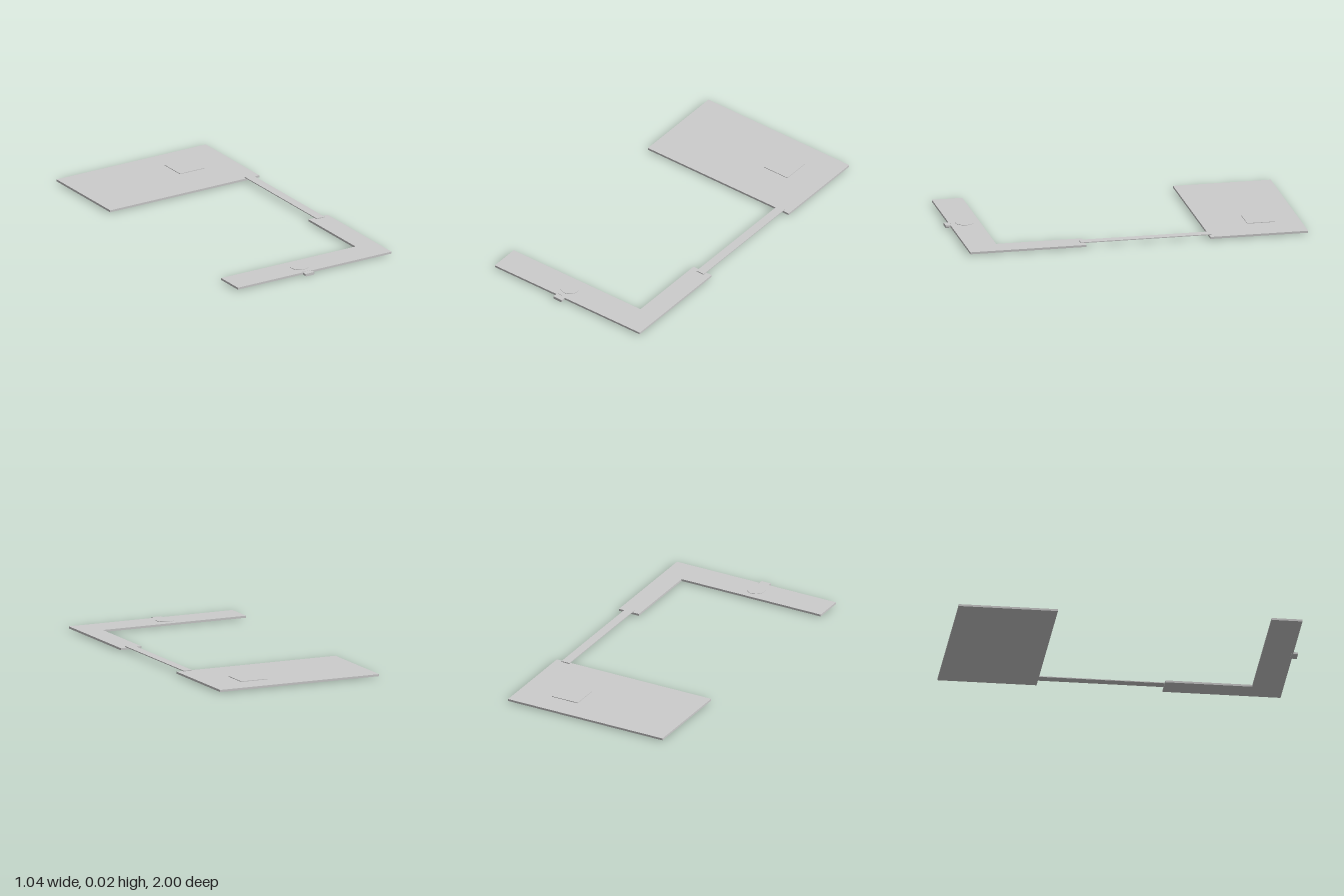
import * as THREE from 'three';

const material = new THREE.MeshStandardMaterial({ color: 0xcccccc, flatShading: true });
const smooth = new THREE.MeshStandardMaterial({ color: 0xcccccc });
const BOTTOM = 0.005, TOP = 0.017;

function add(group, name, geometry, mat = material) {
  const mesh = new THREE.Mesh(geometry, mat);
  mesh.name = name;
  group.add(mesh);
  return mesh;
}

// Box given by its limits on each axis
function box(x0, x1, y0, y1, z0, z1) {
  return new THREE.BoxGeometry(x1 - x0, y1 - y0, z1 - z0)
    .translate((x0 + x1) / 2, (y0 + y1) / 2, (z0 + z1) / 2);
}

export function createModel() {
  const model = new THREE.Group();
  model.name = 'circuitBoards';

  // Rear main board with its chip
  add(model, 'mainBoard', box(-0.49, 0.52, BOTTOM, TOP, -1, -0.43));
  add(model, 'chip', box(0.147, 0.314, TOP, 0.0205, -0.852, -0.688));

  // L-shaped front board, notched for the connector; outline in (x, z)
  const outline = [
    [-0.52, 0.795], [0.39, 0.795], [0.39, 0.295], [0.52, 0.295], [0.52, 0.973],
    [-0.018, 0.973], [-0.018, 0.963], [-0.08, 0.963], [-0.08, 0.973], [-0.52, 0.973],
  ].map(([x, z]) => new THREE.Vector2(x, -z));
  const board = new THREE.ExtrudeGeometry(new THREE.Shape(outline), {
    depth: TOP - BOTTOM, bevelEnabled: false,
  });
  board.rotateX(-Math.PI / 2).translate(0, BOTTOM, 0);
  add(model, 'frontBoard', board);

  // Flat cable joining the two boards
  add(model, 'ribbonCable', box(0.43, 0.482, TOP, 0.022, -0.445, 0.32));

  // Low round component on the front board
  const disc = new THREE.CylinderGeometry(0.053, 0.053, 0.0025, 48);
  add(model, 'roundComponent', disc, smooth).position.set(-0.048, TOP + 0.00125, 0.885);

  // Port with chamfered lower corners, in the notch at the front edge
  const port = new THREE.Shape([
    [-0.074, 0], [-0.024, 0], [-0.019, 0.004], [-0.019, 0.016],
    [-0.079, 0.016], [-0.079, 0.004],
  ].map(([x, y]) => new THREE.Vector2(x, y)));
  const portGeometry = new THREE.ExtrudeGeometry(port, { depth: 0.037, bevelEnabled: false });
  add(model, 'port', portGeometry).position.z = 0.963;

  return model;
}
